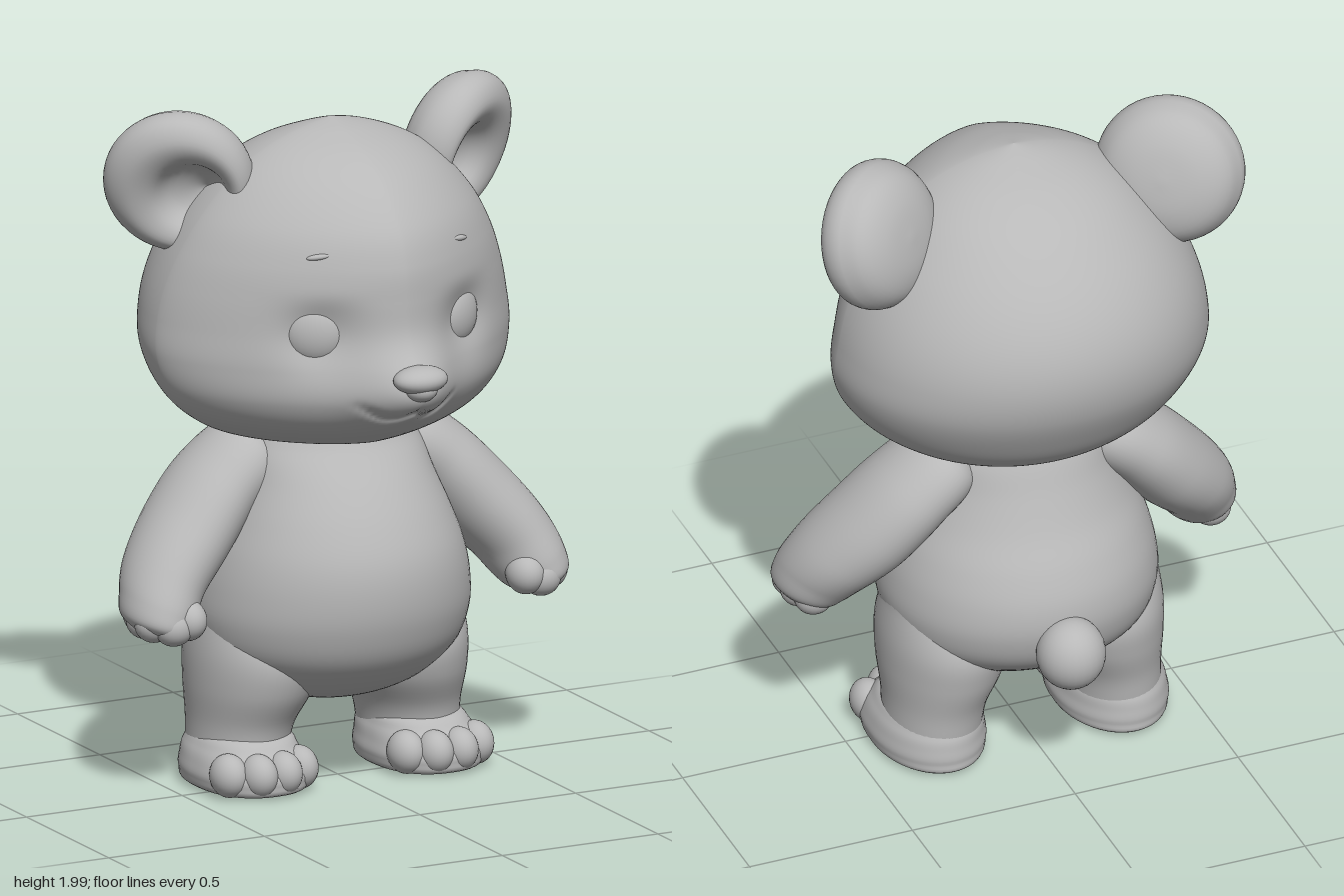
import * as THREE from 'three';
import { mergeVertices } from 'three/addons/utils/BufferGeometryUtils.js';

const fur = new THREE.MeshStandardMaterial({ color: 0xb8b8b8 });
fur.name = 'grey fur';

// Smooth (Catmull-Rom) sample of a table of rows, t in 0..1
function sample(rows, t) {
  const n = rows.length - 1;
  const i = Math.min(Math.floor(t * n), n - 1), u = t * n - i;
  const row = k => rows[Math.max(0, Math.min(n, k))];
  const [a, b, c, d] = [row(i - 1), row(i), row(i + 1), row(i + 2)];
  return b.map((p, k) => {
    const m0 = (c[k] - a[k]) / 2, m1 = (d[k] - p) / 2;
    return p + m0 * u + (3 * (c[k] - p) - 2 * m0 - m1) * u * u + (2 * (p - c[k]) + m0 + m1) * u ** 3;
  });
}

// Closed skin through rings; point(t, angle) returns [x, y, z]
function loft(point, around, along) {
  const pos = [], index = [];
  for (let i = 0; i <= along; i++)
    for (let j = 0; j < around; j++) pos.push(...point(i / along, (j / around) * Math.PI * 2));
  for (let i = 0; i < along; i++)
    for (let j = 0; j < around; j++) {
      const k = (j + 1) % around, a = i * around + j, b = i * around + k;
      index.push(a, a + around, b, b, a + around, b + around);
    }
  const geo = new THREE.BufferGeometry();
  geo.setAttribute('position', new THREE.Float32BufferAttribute(pos, 3));
  geo.setIndex(index);
  geo.computeVertexNormals();
  return geo;
}

const power = (v, p) => Math.sign(v) * Math.abs(v) ** (2 / p);

// Upright form; rows are [y, half width, front z, back z, centre x]
function upright(rows, around, along, frontPower = 2, adjust = null) {
  return loft((t, a) => {
    const [y, w, f, b, cx] = sample(rows, t);
    const c = Math.cos(a), s = Math.sin(a), p = s > 0 ? frontPower : 2;
    const v = [cx + Math.max(w, 0) * power(c, p), y, (f + b) / 2 + Math.max((f - b) / 2, 0) * power(s, p)];
    if (adjust && s > 0) v[2] += adjust(v[0], v[1]) * Math.min(1, s * 3);
    return v;
  }, around, along);
}

// Limb along a path; rows are [x, y, z, thickness, depth]
function limb(rows, around, along) {
  return loft((t, a) => {
    const [x, y, z, r, d] = sample(rows, t);
    const p = sample(rows, Math.max(0, t - 0.01)), q = sample(rows, Math.min(1, t + 0.01));
    const u = new THREE.Vector3(q[0] - p[0], q[1] - p[1], 0).normalize().cross(new THREE.Vector3(0, 0, 1));
    const k = Math.max(r, 0) * Math.cos(a);
    return [x + u.x * k, y + u.y * k, z + Math.max(d, 0) * Math.sin(a)];
  }, around, along);
}

function ellipsoid([x, y, z], [rx, ry, rz], turn = 0, roll = 0) {
  return new THREE.SphereGeometry(1, 28, 18).scale(rx, ry, rz).rotateZ(roll).rotateY(turn).translate(x, y, z);
}

// Cupped ear: a thick bowl whose hollow sits toward the head
function earCup() {
  const rim = new THREE.SplineCurve([
    [0, -0.125], [0.1, -0.115], [0.175, -0.08], [0.214, -0.015], [0.207, 0.045],
    [0.165, 0.08], [0.115, 0.065], [0.07, 0.005], [0, -0.03],
  ].map(p => new THREE.Vector2(...p)));
  const profile = rim.getPoints(36);
  profile.forEach(p => { p.x = Math.max(0, p.x); });
  const lathe = new THREE.LatheGeometry(profile, 48).rotateX(Math.PI / 2);
  lathe.deleteAttribute('uv');
  lathe.deleteAttribute('normal');
  const ear = mergeVertices(lathe), pos = ear.attributes.position;
  for (let i = 0; i < pos.count; i++) {
    const x = pos.getX(i), y = pos.getY(i);
    if (pos.getZ(i) < -0.04) continue;
    const inner = Math.max(0, 1 - Math.hypot(x, y) / 0.214);
    pos.setXY(i, x - 0.075 * inner, y - 0.04 * inner);
  }
  ear.computeVertexNormals();
  return ear.rotateX(0.27).rotateY(0.57).translate(0.447, 1.788, -0.118);
}

// Mirrored copy with its corner order reversed
function mirrored(geo) {
  const copy = geo.clone().scale(-1, 1, 1), ix = copy.index;
  for (let i = 0; i < ix.count; i += 3) {
    const b = ix.getX(i + 1);
    ix.setX(i + 1, ix.getX(i + 2));
    ix.setX(i + 2, b);
  }
  return copy;
}

const bell = (x, y) => Math.exp(-x * x - y * y);

// Muzzle swelling, eye sockets, brow ridges and smile crease
function faceRelief(x, y) {
  const ax = Math.abs(x);
  let z = 0.1 * bell(x / 0.14, (y - 1.245) / 0.105);
  z -= 0.042 * bell((ax - 0.23) / 0.095, (y - 1.4) / 0.095);
  z += 0.005 * bell((ax - 0.23) / 0.1, (y - 1.52) / 0.04);
  const smile = 1.192 - 0.026 * Math.sin((Math.PI * ax) / 0.12);
  if (ax < 0.17) z -= 0.016 * Math.exp(-(((y - smile) / 0.014) ** 2)) * Math.min(1, (0.17 - ax) / 0.06);
  return z;
}

export function createModel() {
  const model = new THREE.Group();
  model.name = 'bearCub';
  const add = (name, geo) => {
    const mesh = new THREE.Mesh(geo, fur);
    mesh.name = name;
    model.add(mesh);
  };
  const pair = (name, geo) => {
    add('left' + name, geo);
    add('right' + name, mirrored(geo));
  };

  // Head
  add('head', upright([
    [1.01, 0, -0.1, -0.1, 0], [1.02, 0.2, 0.12, -0.25, 0], [1.05, 0.34, 0.24, -0.35, 0],
    [1.115, 0.455, 0.36, -0.43, 0], [1.2, 0.525, 0.42, -0.49, 0], [1.3, 0.555, 0.43, -0.54, 0],
    [1.4, 0.548, 0.43, -0.56, 0], [1.5, 0.525, 0.43, -0.55, 0], [1.6, 0.485, 0.42, -0.51, 0],
    [1.7, 0.425, 0.38, -0.44, 0], [1.8, 0.335, 0.29, -0.34, 0], [1.87, 0.235, 0.18, -0.23, 0],
    [1.915, 0.12, 0.06, -0.12, 0], [1.94, 0, -0.04, -0.04, 0],
  ], 200, 182, 1.6, faceRelief));

  // Face
  add('nose', ellipsoid([0, 1.292, 0.503], [0.082, 0.04, 0.062]));
  add('noseTip', ellipsoid([0, 1.265, 0.5], [0.05, 0.038, 0.055]));
  pair('Eye', ellipsoid([0.228, 1.405, 0.287], [0.088, 0.087, 0.048], 0.55));
  pair('Brow', ellipsoid([0.225, 1.635, 0.31], [0.036, 0.009, 0.012], 0.5, -0.15));
  pair('Ear', earCup());

  // Torso and tail
  add('body', upright([
    [0.24, 0, -0.05, -0.05, 0], [0.26, 0.14, 0.08, -0.16, 0], [0.31, 0.27, 0.19, -0.28, 0],
    [0.4, 0.37, 0.285, -0.4, 0], [0.5, 0.405, 0.33, -0.445, 0], [0.6, 0.4, 0.345, -0.445, 0],
    [0.7, 0.375, 0.335, -0.41, 0], [0.8, 0.335, 0.295, -0.355, 0], [0.9, 0.295, 0.235, -0.31, 0],
    [1.0, 0.265, 0.16, -0.27, 0], [1.08, 0.2, 0.1, -0.22, 0], [1.1, 0, -0.06, -0.06, 0],
  ], 72, 66));
  add('tail', ellipsoid([0, 0.47, -0.468], [0.1, 0.108, 0.1]));

  // Arms with mitten hands and stubby fingers
  pair('Arm', limb([
    [0.18, 1.02, -0.1, 0, 0], [0.225, 0.985, -0.1, 0.1, 0.13], [0.345, 0.89, -0.092, 0.12, 0.165],
    [0.457, 0.768, -0.062, 0.125, 0.17], [0.545, 0.668, -0.022, 0.117, 0.158], [0.592, 0.585, 0.022, 0.108, 0.14],
    [0.612, 0.53, 0.045, 0.085, 0.11], [0.62, 0.5, 0.055, 0, 0],
  ], 40, 56));
  [[0.59, 0.545, 0.12], [0.632, 0.552, 0.08], [0.63, 0.55, 0.025], [0.61, 0.55, -0.03]].forEach((p, i) =>
    pair('Finger' + (i + 1), ellipsoid(p, [0.058, 0.054, 0.053])));
  pair('Thumb', ellipsoid([0.543, 0.56, 0.112], [0.055, 0.06, 0.065]));

  // Legs, tapering into the hips
  pair('Leg', upright([
    [0.06, 0.14, 0.08, -0.265, 0.275], [0.13, 0.14, 0.085, -0.272, 0.273], [0.2, 0.148, 0.1, -0.282, 0.265],
    [0.3, 0.175, 0.15, -0.31, 0.245], [0.4, 0.182, 0.165, -0.32, 0.237], [0.5, 0.16, 0.12, -0.28, 0.245],
    [0.6, 0.12, 0.05, -0.21, 0.265], [0.7, 0, -0.07, -0.07, 0.26],
  ], 48, 42));

  // Feet and toes
  pair('Foot', upright([
    [0.012, 0, -0.08, -0.08, 0.28], [0.014, 0.14, 0.145, -0.262, 0.28], [0.05, 0.165, 0.178, -0.283, 0.28],
    [0.09, 0.16, 0.165, -0.281, 0.28], [0.13, 0.147, 0.125, -0.272, 0.277], [0.17, 0.115, 0.07, -0.24, 0.272],
    [0.19, 0, -0.1, -0.1, 0.27],
  ], 48, 36, 2.4));
  [[0.172, 0.09], [0.243, 0.128], [0.322, 0.128], [0.395, 0.085]].forEach(([x, z], i) =>
    pair('Toe' + (i + 1), ellipsoid([x, 0.076, z], [0.053, 0.063, 0.066])));

  return model;
}
